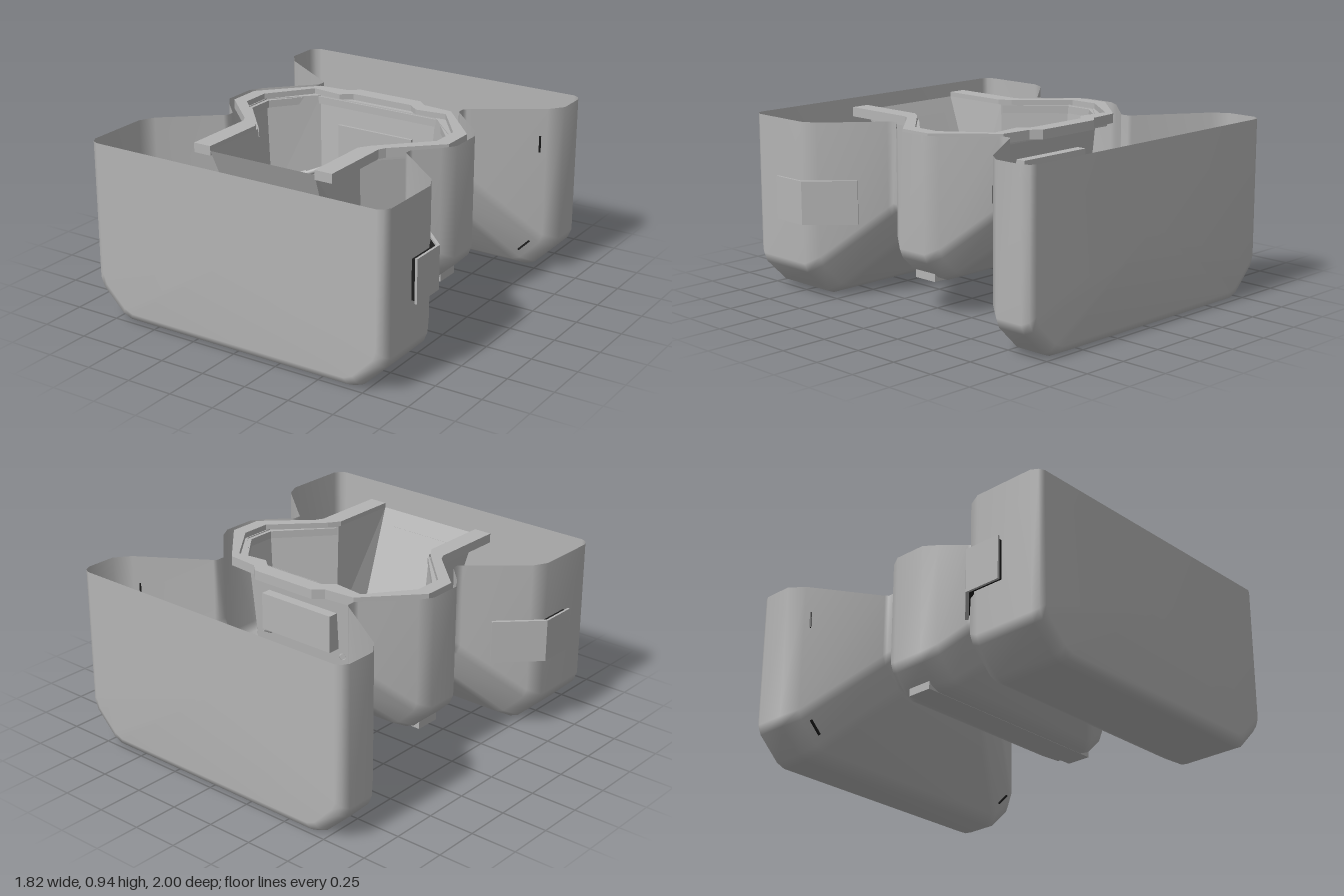
import * as THREE from 'three';

const grey = new THREE.MeshStandardMaterial({ color: 0xb4b4b4, side: THREE.DoubleSide });
grey.name = 'body grey';
const dark = new THREE.MeshStandardMaterial({ color: 0x1c1c1c });
dark.name = 'slot black';

const TOP = 0.94;

function add(group, name, geo, mat = grey) {
  const m = new THREE.Mesh(geo, mat);
  m.name = name;
  group.add(m);
  return m;
}

// Extrudes a plan outline of [x, z] points downward from height y
function slab(points, y, depth) {
  const shape = new THREE.Shape(points.map(([x, z]) => new THREE.Vector2(x, z)));
  return new THREE.ExtrudeGeometry(shape, { depth, bevelEnabled: false })
    .rotateX(Math.PI / 2).translate(0, y, 0);
}

const mirrored = (half) => [...half, ...half.map(([x, z]) => [-x, z]).reverse()];

// Joins rows of points into a skin, each row running the same way
function skin(rows, closed) {
  const n = rows[0].length, index = [];
  for (let i = 0; i < rows.length - 1; i++) {
    for (let j = 0; j < (closed ? n : n - 1); j++) {
      const a = i * n + j, b = i * n + (j + 1) % n, c = a + n, d = b + n;
      index.push(a, b, c, b, d, c);
    }
  }
  return { pos: rows.flat(2), index, n };
}

function toGeometry(pos, index) {
  const g = new THREE.BufferGeometry();
  g.setAttribute('position', new THREE.Float32BufferAttribute(pos, 3));
  g.setIndex(index);
  return g;
}

// Open-topped hull lofted along z: half width, floor height, corner chamfer
function hull() {
  const sections = [
    [1, 0.82, 0.05, 0.15], [0.985, 0.85, 0.015, 0.16], [0.95, 0.87, 0, 0.16],
    [0.61, 0.87, 0, 0.16], [0.53, 0.83, 0.045, 0.16], [0.30, 0.56, 0.31, 0.15],
    [0.285, 0.54, 0.33, 0.15], [0.25, 0.54, 0.33, 0.15], [0.235, 0.55, 0.315, 0.15],
    [0.13, 0.65, 0.21, 0.14], [0.06, 0.70, 0.18, 0.13], [-0.12, 0.70, 0.18, 0.13],
    [-0.19, 0.66, 0.215, 0.13], [-0.40, 0.455, 0.42, 0.14], [-0.415, 0.44, 0.43, 0.14],
    [-0.46, 0.44, 0.43, 0.14], [-0.475, 0.455, 0.41, 0.14], [-0.71, 0.81, 0.045, 0.15],
    [-0.79, 0.87, 0, 0.16], [-0.95, 0.87, 0, 0.16], [-0.985, 0.85, 0.015, 0.16],
    [-1, 0.82, 0.05, 0.15],
  ];
  const rows = sections.map(([z, w, f, c]) => mirrored([
    [w, TOP], [w, f + c + 0.03], [w - 0.02, f + c - 0.02],
    [w - c + 0.02, f + 0.02], [w - c - 0.03, f],
  ]).map(([x, y]) => [x, y, z]));
  const { pos, index, n } = skin(rows, false);
  // End walls as fans
  const first = pos.length / 3, last = (rows.length - 1) * n;
  pos.push(0, 0.5, 1, 0, 0.5, -1);
  for (let j = 0; j < n; j++) {
    const k = (j + 1) % n;
    index.push(first, k, j, first + 1, last + j, last + k);
  }
  const g = toGeometry(pos, index);
  g.computeVertexNormals();
  return g;
}

// Inner basin with walls tapering to a flat floor
function basin() {
  const rim = mirrored([[0.36, -0.31], [0.57, -0.1], [0.57, 0.08], [0.31, 0.34], [0.31, 0.74]]);
  const low = mirrored([[0.33, -0.27], [0.53, -0.08], [0.53, 0.06], [0.29, 0.3], [0.27, 0.5]]);
  const { pos, index, n } = skin([
    rim.map(([x, z]) => [x, 0.92, z]), low.map(([x, z]) => [x, 0.36, z]),
  ], true);
  const centre = pos.length / 3;
  pos.push(0, 0.36, 0.05);
  for (let j = 0; j < n; j++) index.push(centre, n + j, n + (j + 1) % n);
  const g = toGeometry(pos, index).toNonIndexed();
  g.computeVertexNormals();
  return g;
}

function rod(group, name, pts, r) {
  const curve = new THREE.CurvePath();
  const v = pts.map((p) => new THREE.Vector3(...p));
  const path = v.length > 2 ? new THREE.CatmullRomCurve3(v, false, 'centripetal')
    : new THREE.LineCurve3(v[0], v[1]);
  return add(group, name, new THREE.TubeGeometry(path, v.length > 2 ? 16 : 1, r, 10, false));
}

export function createModel() {
  const model = new THREE.Group();
  model.name = 'tubModel';
  add(model, 'hull', hull());
  add(model, 'basin', basin());

  // Rim frame with two forward legs, and a lower inner lip
  const outer = [[0.41, 0.74], [0.41, 0.33], [0.43, 0.29], [0.66, 0.07], [0.66, -0.11],
    [0.41, -0.385], [0.24, -0.4], [0.19, -0.445]];
  const inner = [[0.31, 0.74], [0.31, 0.36], [0.35, 0.3], [0.585, 0.06], [0.585, -0.1],
    [0.41, -0.33], [0.24, -0.31], [0.18, -0.36]];
  const u = (a, b) => [...mirrored(a), ...mirrored(b.map(([x, z]) => [-x, z]))];
  add(model, 'rimFrame', slab(u(outer, inner), 0.945, 0.05));
  add(model, 'innerLip', slab(u(
    [[0.36, 0.33], [0.61, 0.07], [0.61, -0.11], [0.4, -0.35]],
    [[0.31, 0.33], [0.55, 0.06], [0.55, -0.09], [0.38, -0.3]]), 0.915, 0.04));

  // Raised panels on the basin end walls
  const front = add(model, 'frontPanel', new THREE.BoxGeometry(0.42, 0.4, 0.012));
  front.position.set(0, 0.66, 0.612);
  front.rotation.x = 0.4;
  add(model, 'rearPocket', new THREE.BoxGeometry(0.46, 0.2, 0.07).translate(0, 0.68, -0.32));
  add(model, 'frontStep', new THREE.BoxGeometry(0.54, 0.03, 0.03).translate(0, 0.4, 0.5));

  // Axle and gear housing
  const axle = new THREE.Group();
  axle.name = 'axleAssembly';
  model.add(axle);
  const profile = [[0, -0.5], [0.03, -0.5], [0.03, -0.44], [0.02, -0.42], [0.022, -0.3],
    [0.038, -0.26], [0.038, -0.12], [0.028, -0.09]];
  const full = [...profile, ...profile.map(([r, y]) => [r, -y]).reverse()];
  add(axle, 'axle', new THREE.LatheGeometry(full.map(([r, y]) => new THREE.Vector2(r, y)), 16)
    .rotateZ(Math.PI / 2).translate(0, 0.47, 0.045));
  add(axle, 'gearHousing', new THREE.BoxGeometry(0.18, 0.08, 0.34).translate(0, 0.41, 0.11));
  rod(axle, 'crossRod', [[-0.38, 0.46, 0.21], [0.38, 0.46, 0.21]], 0.018);

  for (const s of [1, -1]) {
    rod(axle, 'curvedArm', [[s * 0.27, 0.55, -0.3], [s * 0.17, 0.51, -0.2], [s * 0.135, 0.5, -0.1],
      [s * 0.13, 0.48, 0.1], [s * 0.13, 0.46, 0.29]], 0.016);
    rod(axle, 'damperBody', [[s * 0.34, 0.52, -0.14], [s * 0.46, 0.48, -0.02]], 0.024);
    rod(axle, 'damperRod', [[s * 0.24, 0.56, -0.23], [s * 0.35, 0.52, -0.13]], 0.014);
    rod(axle, 'steeringLink', [[s * 0.44, 0.46, 0.12], [s * 0.36, 0.46, 0.21]], 0.018);
    for (const x of [0.22, 0.3]) {
      rod(axle, 'rodCollar', [[s * x - 0.01, 0.46, 0.21], [s * x + 0.01, 0.46, 0.21]], 0.026);
    }
    add(axle, 'axleSlot', new THREE.BoxGeometry(0.07, 0.006, 0.015)
      .translate(s * 0.135, 0.509, 0.045), dark);

    // Bent side plates standing off the front section
    const side = (pts) => pts.map(([x, z]) => [s * x, z]);
    add(model, 'sidePlate', slab(side([[0.69, 0.385], [0.703, 0.373], [0.908, 0.575],
      [0.908, 0.78], [0.895, 0.78], [0.895, 0.585]]), 0.64, 0.23));
    add(model, 'platePad', slab(side([[0.71, 0.406], [0.895, 0.587], [0.895, 0.77],
      [0.872, 0.77], [0.872, 0.595], [0.695, 0.42]]), 0.63, 0.21), dark);

    // Narrow slots on the rear section's slanted sides
    const upper = add(model, 'upperSlot', new THREE.BoxGeometry(0.008, 0.09, 0.012), dark);
    upper.position.set(s * 0.781, 0.745, -0.69);
    upper.rotation.y = s * 0.99;
    const lower = add(model, 'lowerSlot', new THREE.BoxGeometry(0.01, 0.09, 0.012), dark);
    lower.position.set(s * 0.712, 0.15, -0.69);
    lower.rotation.z = -s * 0.78;
  }

  // Strip under the middle section
  add(model, 'underStrip', new THREE.BoxGeometry(1.22, 0.055, 0.14).translate(0, 0.206, -0.03));
  return model;
}
